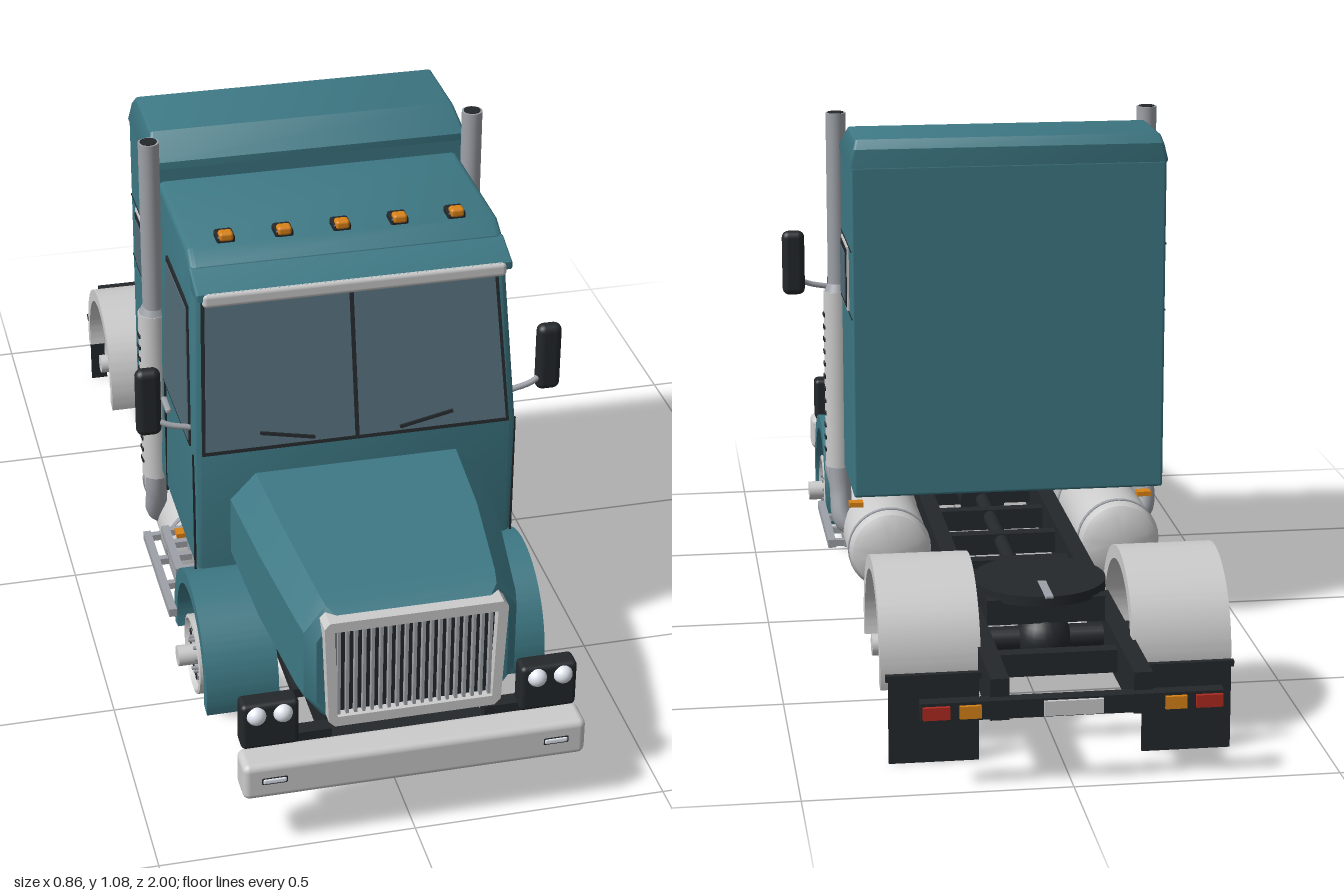
import * as THREE from 'three';
import { toCreasedNormals } from 'three/addons/utils/BufferGeometryUtils.js';
import { RoundedBoxGeometry } from 'three/addons/geometries/RoundedBoxGeometry.js';

const mat = (color, side = THREE.FrontSide) => new THREE.MeshStandardMaterial({ color, side });
const teal = mat(0x3d7884), chrome = mat(0xcccccc), steel = mat(0x9ea2a8), dark = mat(0x24282b),
  glass = mat(0x536b77), orange = mat(0xd98218), red = mat(0xb02a20), white = mat(0xe4e9f2);

export function createModel() {
  const truck = new THREE.Group();
  truck.name = 'truck';

  const add = (name, geo, material, x = 0, y = 0, z = 0, parent = truck) => {
    const m = new THREE.Mesh(geo, material);
    m.name = name;
    m.position.set(x, y, z);
    parent.add(m);
    return m;
  };
  const box = (name, w, h, d, material, x, y, z, parent) =>
    add(name, new THREE.BoxGeometry(w, h, d), material, x, y, z, parent);
  const rbox = (name, w, h, d, r, material, x, y, z, parent) =>
    add(name, new RoundedBoxGeometry(w, h, d, 3, r), material, x, y, z, parent);
  // cylinder along the given axis
  const cyl = (name, r, len, axis, material, x, y, z, parent, seg = 32) => {
    const m = add(name, new THREE.CylinderGeometry(r, r, len, seg), material, x, y, z, parent);
    if (axis === 'x') m.rotation.z = Math.PI / 2;
    if (axis === 'z') m.rotation.x = Math.PI / 2;
    return m;
  };
  const tube = (name, pts, r, material, parent) => add(name, new THREE.TubeGeometry(
    new THREE.CatmullRomCurve3(pts.map(p => new THREE.Vector3(...p))), 24, r, 14), material, 0, 0, 0, parent);
  const shape = pts => new THREE.Shape(pts.map(p => new THREE.Vector2(...p)));
  // side outline of [z, y] points, extruded from x0 to x1
  const prism = (s, x0, x1, b = 0) => {
    const g = new THREE.ExtrudeGeometry(s, { depth: x1 - x0 - 2 * b, bevelEnabled: b > 0, bevelSize: b,
      bevelThickness: b, bevelOffset: -b, bevelSegments: 3, curveSegments: 40 });
    g.rotateY(-Math.PI / 2).translate(x1 - b, 0, 0);
    return toCreasedNormals(g, 0.6);
  };
  // the cab narrows above the window sill
  const taper = (g, from = 0.585, k = 0.12) => {
    const p = g.attributes.position;
    for (let i = 0; i < p.count; i++) p.setX(i, p.getX(i) * (1 - k * Math.max(0, p.getY(i) - from)));
    return g;
  };
  const panel = (pts, depth, holePts) => {
    const s = shape(pts);
    if (holePts) s.holes.push(new THREE.Path(holePts.map(p => new THREE.Vector2(...p))));
    return new THREE.ExtrudeGeometry(s, { depth, bevelEnabled: false });
  };

  // cab and sleeper
  add('cab', taper(prism(shape([[0.08, 0.32], [0.505, 0.32], [0.51, 0.585], [0.442, 0.91], [0.425, 0.955],
    [0.385, 0.978], [0.08, 0.978]]), -0.326, 0.326, 0.014)), teal);
  rbox('sleeper', 0.65, 0.695, 0.245, 0.006, teal, 0, 0.6625, -0.03);
  add('sleeperRoof', taper(prism(shape([[-0.152, 1.005], [0.094, 1.005], [0.094, 1.02], [0.035, 1.063],
    [-0.135, 1.063], [-0.152, 1.045]]), -0.328, 0.328, 0.006), 1.015, 0.9), teal);
  add('sunVisor', prism(shape([[0.42, 0.955], [0.492, 0.93], [0.492, 0.915], [0.435, 0.91]]), -0.312, 0.312, 0.005), teal);
  rbox('visorTrim', 0.6, 0.03, 0.02, 0.009, chrome, 0, 0.916, 0.487);

  // hood lofted from eight-sided sections
  const rows = [[0.5, 0.255, 0.31, 0.532], [0.7, 0.24, 0.283, 0.526], [0.9, 0.213, 0.26, 0.506],
    [0.935, 0.205, 0.255, 0.498], [0.955, 0.185, 0.252, 0.487]];
  const pos = [], idx = [], n = 8;
  rows.forEach(([z, w, b, t]) => {
    const half = [[0.84 * w, b], [w, b + 0.045], [w, t - 0.055], [0.8 * w, t]];
    [...half, ...half.slice().reverse().map(([x, y]) => [-x, y])].forEach(([x, y]) => pos.push(x, y, z));
  });
  for (let r = 0; r < rows.length - 1; r++) for (let i = 0; i < n; i++) {
    const a = r * n + i, b = r * n + (i + 1) % n;
    idx.push(a, b, b + n, a, b + n, a + n);
  }
  const end = (rows.length - 1) * n;
  for (let i = 1; i < n - 1; i++) idx.push(0, i + 1, i, end, end + i, end + i + 1);
  const hood = new THREE.BufferGeometry();
  hood.setAttribute('position', new THREE.Float32BufferAttribute(pos, 3));
  hood.setIndex(idx);
  add('hood', toCreasedNormals(hood, 0.5), mat(0x3d7884, THREE.DoubleSide));

  // radiator grille
  const grille = new THREE.Group();
  grille.name = 'grille';
  truck.add(grille);
  add('grilleSurround', panel([[-0.155, 0.253], [0.155, 0.253], [0.167, 0.265], [0.176, 0.475], [0.166, 0.487],
    [-0.166, 0.487], [-0.176, 0.475], [-0.167, 0.265]], 0.045,
  [[-0.15, 0.274], [-0.156, 0.466], [0.156, 0.466], [0.15, 0.274]]), chrome, 0, 0, 0.935, grille);
  box('grilleBack', 0.31, 0.2, 0.02, dark, 0, 0.37, 0.95, grille);
  for (let i = 0; i < 19; i++) box('grilleBar', 0.006, 0.192, 0.012, steel, (i - 9) * 0.0162, 0.37, 0.966, grille);

  // windscreen, lying on the sloped cab front
  const screen = new THREE.Group();
  screen.name = 'windscreen';
  screen.position.set(0, 0.585, 0.51);
  screen.rotation.x = -0.206;
  truck.add(screen);
  add('windscreenSeal', panel([[-0.31, 0], [0.31, 0], [0.295, 0.325], [-0.295, 0.325]], 0.004), dark, 0, 0, 0, screen);
  add('windscreenGlass', panel([[-0.303, 0.008], [0.303, 0.008], [0.288, 0.32], [-0.288, 0.32]], 0.004), glass, 0, 0, 0.002, screen);
  box('windscreenDivider', 0.008, 0.32, 0.008, dark, 0, 0.163, 0.004, screen);
  for (const s of [-1, 1]) {
    const w = box('wiper', 0.11, 0.006, 0.006, dark, s * 0.14, 0.027, 0.01, screen);
    w.rotation.z = s * 0.19;
  }

  // roof marker lamps
  for (let i = -2; i <= 2; i++) {
    rbox('markerBase', 0.036, 0.02, 0.04, 0.005, dark, i * 0.115, 0.981, 0.36);
    rbox('markerLamp', 0.028, 0.018, 0.024, 0.006, orange, i * 0.115, 0.99, 0.372);
  }

  // bumper
  rbox('bumper', 0.67, 0.078, 0.07, 0.014, chrome, 0, 0.16, 0.965);
  box('bumperMount', 0.3, 0.05, 0.06, dark, 0, 0.165, 0.91);

  // chassis
  for (const z of [0.84, 0.6, 0.36, 0.16, -0.02, -0.2, -0.42, -0.78])
    box('crossMember', 0.25, 0.045, 0.03, dark, 0, 0.165, z);
  cyl('driveShaft', 0.016, 0.95, 'z', dark, 0, 0.17, -0.13, truck, 16);
  rbox('engine', 0.13, 0.12, 0.4, 0.02, dark, 0, 0.19, 0.68);
  cyl('gearbox', 0.05, 0.2, 'z', dark, 0, 0.17, 0.38, truck, 20);
  cyl('rearAxle', 0.024, 0.6, 'x', dark, 0, 0.16, -0.625, truck, 20);
  add('differential', new THREE.SphereGeometry(0.055, 24, 16), dark, 0, 0.16, -0.625);
  cyl('frontAxle', 0.018, 0.6, 'x', dark, 0, 0.135, 0.53, truck, 20);

  // coupling plate with its slot
  cyl('couplingPlate', 0.13, 0.02, 'y', dark, 0, 0.255, -0.565, truck, 40);
  box('couplingBase', 0.23, 0.05, 0.2, dark, 0, 0.225, -0.56);
  box('couplingSlot', 0.016, 0.004, 0.1, steel, 0, 0.265, -0.65);

  // tail bar
  box('tailBar', 0.56, 0.035, 0.028, dark, 0, 0.153, -0.976);
  box('numberPlate', 0.11, 0.028, 0.008, chrome, 0, 0.153, -0.993);

  const fender = (name, y, z, ro, ri, x0, x1, material) => {
    const s = new THREE.Shape();
    s.absarc(z, y, ro, -0.22, Math.PI + 0.22, false);
    s.absarc(z, y, ri, Math.PI + 0.22, -0.22, true);
    return [name, prism(s, x0, x1), material];
  };
  // rim with bolts, holes and a centre hub, facing outwards on side s
  const wheel = (name, s, x, y, z, reach) => {
    const g = new THREE.Group();
    g.name = name;
    g.position.set(s * x, y, z);
    g.rotation.z = -s * Math.PI / 2;
    truck.add(g);
    const prof = [[0, -0.02], [0.078, -0.02], [0.081, -0.012], [0.081, 0.016], [0.074, 0.018], [0.068, 0.008], [0, 0.008]];
    add('rim', toCreasedNormals(new THREE.LatheGeometry(prof.map(p => new THREE.Vector2(...p)), 40), 0.5),
      mat(0xcccccc, THREE.DoubleSide), 0, 0, 0, g);
    for (let i = 0; i < 10; i++) {
      const a = i * Math.PI / 5, c = Math.cos(a), d = Math.sin(a);
      cyl('rimHole', 0.0085, 0.004, 'y', dark, c * 0.054, 0.008, d * 0.054, g, 14);
      cyl('wheelNut', 0.004, 0.012, 'y', steel, c * 0.035, 0.012, d * 0.035, g, 6);
    }
    cyl('hub', 0.021, reach, 'y', chrome, 0, reach / 2, 0, g, 20);
  };

  // parts found on both sides
  for (const s of [-1, 1]) {
    const sided = (x0, x1) => s > 0 ? [x0, x1] : [-x1, -x0];
    box('frameRail', 0.035, 0.08, 1.85, dark, s * 0.133, 0.165, -0.045);

    // door window, seams and handle
    const win = e => shape([[0.2 + e, 0.585 + e], [0.478 - e, 0.592 + e], [0.422 - e, 0.872 - e], [0.2 + e, 0.868 - e]]);
    add('doorWindowSeal', taper(prism(win(0), ...sided(0.32, 0.329))), dark);
    add('doorWindowGlass', taper(prism(win(0.009), ...sided(0.32, 0.331))), glass);
    box('doorSeam', 0.004, 0.265, 0.004, dark, s * 0.3255, 0.452, 0.2);
    box('doorSeam', 0.004, 0.265, 0.004, dark, s * 0.3255, 0.452, 0.5);
    rbox('doorHandle', 0.012, 0.012, 0.055, 0.004, steel, s * 0.33, 0.545, 0.235);

    // sleeper window
    box('sleeperWindowTrim', 0.012, 0.135, 0.138, chrome, s * 0.323, 0.766, -0.02);
    box('sleeperWindowSeal', 0.016, 0.122, 0.124, dark, s * 0.323, 0.766, -0.02);
    box('sleeperWindowGlass', 0.02, 0.1, 0.1, glass, s * 0.323, 0.766, -0.02);
    for (const y of [0.695, 0.835]) box('sleeperSeam', 0.002, 0.003, 0.243, dark, s * 0.325, y, -0.03);

    // mirror on a bent arm
    rbox('mirror', 0.05, 0.145, 0.032, 0.015, dark, s * 0.404, 0.69, 0.455);
    tube('mirrorArm', [[s * 0.325, 0.63, 0.47], [s * 0.37, 0.64, 0.465], [s * 0.395, 0.655, 0.455],
      [s * 0.4, 0.7, 0.455]], 0.006, steel);

    // exhaust stack with slotted heat shield
    cyl('exhaustPipe', 0.021, 0.42, 'y', steel, s * 0.332, 0.87, 0.117).material = steel;
    cyl('exhaustMouth', 0.017, 0.004, 'y', dark, s * 0.332, 1.0795, 0.117);
    add('exhaustCollar', new THREE.CylinderGeometry(0.021, 0.03, 0.02, 32), steel, s * 0.332, 0.705, 0.115);
    cyl('exhaustShield', 0.03, 0.385, 'y', chrome, s * 0.333, 0.505, 0.115);
    for (let i = 0; i < 12; i++) rbox('shieldSlot', 0.006, 0.01, 0.022, 0.0025, dark, s * 0.3615, 0.35 + i * 0.027, 0.115);
    tube('exhaustElbow', [[s * 0.333, 0.33, 0.115], [s * 0.333, 0.26, 0.105], [s * 0.325, 0.195, 0.082],
      [s * 0.26, 0.17, 0.07]], 0.023, steel);

    // fuel tank with domed ends and straps
    const prof = [[0, -0.175], [0.06, -0.172], [0.08, -0.16], [0.086, -0.145], [0.086, 0.145], [0.08, 0.16], [0.06, 0.172], [0, 0.175]];
    add('fuelTank', toCreasedNormals(new THREE.LatheGeometry(prof.map(p => new THREE.Vector2(...p)), 40), 0.6),
      chrome, s * 0.245, 0.178, 0.065).rotation.x = Math.PI / 2;
    for (const z of [-0.07, 0.2]) cyl('tankStrap', 0.088, 0.012, 'z', steel, s * 0.245, 0.178, z);
    for (const z of [0.28, -0.015]) box('sideMarker', 0.03, 0.01, 0.024, orange, s * 0.31, 0.262, z);

    // two entry steps made of slats
    for (const [y, z0, z1, x0, x1] of [[0.236, 0.22, 0.385, 0.2, 0.345], [0.142, 0.09, 0.39, 0.24, 0.362]]) {
      for (let i = 0; i < 4; i++)
        box('stepRail', 0.016, 0.018, z1 - z0, steel, s * (x0 + (x1 - x0 - 0.016) * i / 3 + 0.008), y, (z0 + z1) / 2);
      for (let i = 0; i < 4; i++)
        box('stepSlat', x1 - x0, 0.014, 0.014, steel, s * (x0 + x1) / 2, y, z0 + 0.01 + (z1 - z0 - 0.02) * i / 3);
    }
    for (const z of [0.25, 0.37]) box('stepBracket', 0.014, 0.1, 0.014, steel, s * 0.255, 0.19, z);

    // wheels, fenders and mud flaps
    add(...fender('frontFender', 0.14, 0.53, 0.17, 0.14, ...sided(0.2, 0.345), teal));
    add(...fender('rearFender', 0.165, -0.627, 0.17, 0.143, ...sided(0.145, 0.335), chrome));
    wheel('frontWheel', s, 0.325, 0.135, 0.53, 0.047);
    wheel('rearWheel', s, 0.295, 0.16, -0.625, 0.04);
    box('mudFlap', 0.17, 0.165, 0.006, dark, s * 0.24, 0.0825, -0.84);
    box('mudFlapHanger', 0.2, 0.012, 0.012, dark, s * 0.23, 0.168, -0.84);
    box('leafSpring', 0.025, 0.02, 0.3, dark, s * 0.16, 0.13, 0.55);

    // headlamps and bumper lamp
    rbox('headlampBox', 0.112, 0.1, 0.045, 0.01, dark, s * 0.272, 0.252, 0.928);
    for (const x of [0.248, 0.299])
      add('headlamp', new THREE.SphereGeometry(0.019, 24, 16), white, s * x, 0.279, 0.948);
    box('headlampBracket', 0.1, 0.03, 0.03, dark, s * 0.2, 0.2, 0.92);
    rbox('bumperLampRim', 0.052, 0.018, 0.01, 0.004, dark, s * 0.275, 0.163, 0.996);
    rbox('bumperLamp', 0.046, 0.012, 0.012, 0.004, white, s * 0.275, 0.163, 0.997);

    // tail lamps
    box('tailLamp', 0.05, 0.024, 0.01, red, s * 0.252, 0.153, -0.993);
    box('turnLamp', 0.04, 0.024, 0.01, orange, s * 0.19, 0.153, -0.993);
  }
  return truck;
}
